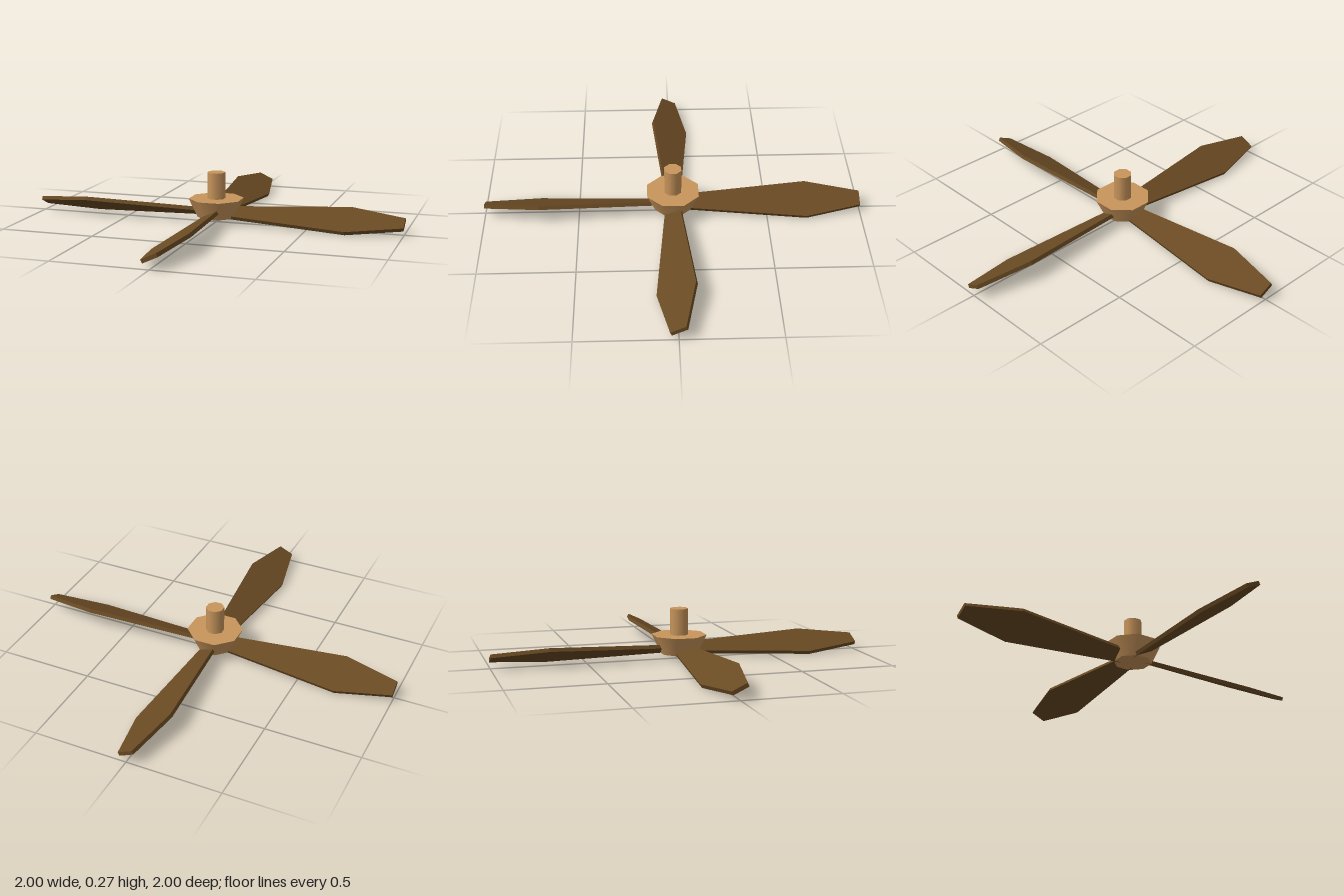
import * as THREE from 'three';

export function createModel() {
  const model = new THREE.Group();
  model.name = 'propeller';

  const lightWood = new THREE.MeshStandardMaterial({ color: 0xc8955b });
  lightWood.name = 'light wood';
  const darkWood = new THREE.MeshStandardMaterial({ color: 0x694a23 });
  darkWood.name = 'dark wood';

  const add = (name, geometry, material) => {
    const mesh = new THREE.Mesh(geometry, material);
    mesh.name = name;
    model.add(mesh);
    return mesh;
  };

  // Eight-sided hub and shaft, flats facing the blades
  const post = (rTop, rBottom, y0, y1) =>
    new THREE.CylinderGeometry(rTop, rBottom, y1 - y0, 8)
      .rotateY(Math.PI / 8)
      .translate(0, (y0 + y1) / 2, 0);
  add('hub', post(0.147, 0.1, 0.03, 0.13), lightWood);
  add('shaft', post(0.048, 0.048, 0.12, 0.27), lightWood);

  // Blade: a flat board, widest near the tip, pitched about its length
  const thickness = 0.02;
  const outline = new THREE.Shape([
    [0.05, -0.041], [0.71, -0.106], [1, -0.042],
    [1, 0.042], [0.71, 0.106], [0.05, 0.041],
  ].map(([x, y]) => new THREE.Vector2(x, y)));
  const blade = new THREE.ExtrudeGeometry(outline, { depth: thickness, bevelEnabled: false })
    .translate(0, 0, -thickness / 2)
    .rotateX(-Math.PI / 2 + 0.44)
    .translate(0, 0.056, 0);

  for (let i = 0; i < 4; i++) {
    add('blade' + (i + 1), blade, darkWood).rotation.y = i * Math.PI / 2;
  }
  return model;
}
